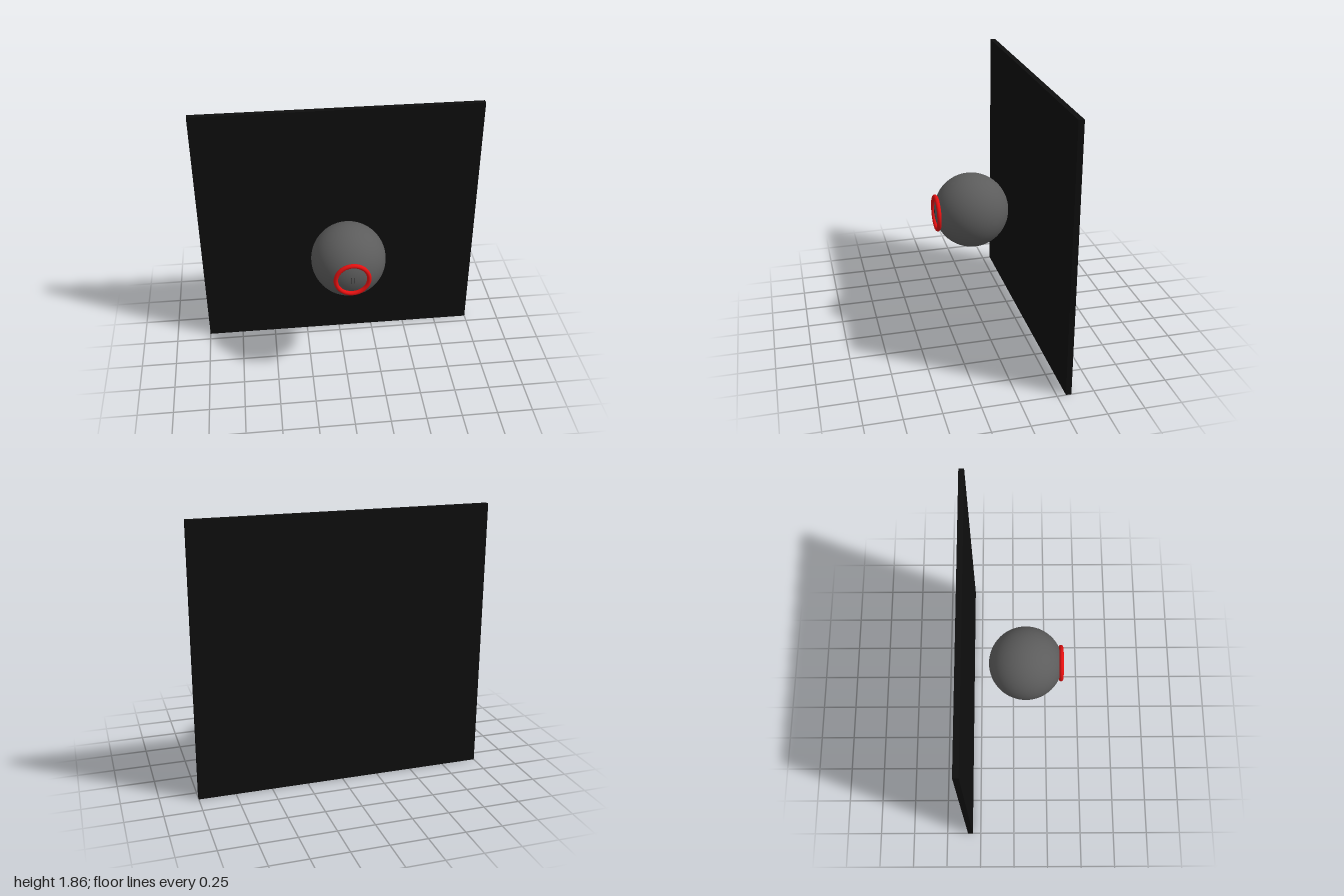
import * as THREE from 'three';

const paint = (name, color) => {
  const m = new THREE.MeshStandardMaterial({ color });
  m.name = name;
  return m;
};

export function createModel() {
  const black = paint('black', 0x0e0e0e);
  const grey = paint('grey', 0x5c5c5c);
  const red = paint('red', 0xe51010);
  const darkGrey = paint('darkGrey', 0x2c2c2c);

  const model = new THREE.Group();
  const add = (name, geometry, material, x, y, z) => {
    const mesh = new THREE.Mesh(geometry, material);
    mesh.name = name;
    mesh.position.set(x, y, z);
    model.add(mesh);
  };

  const cx = 0.025, cy = 0.93, cz = 0.086, radius = 0.256;

  // Flat panel standing behind the ball
  add('backPanel', new THREE.BoxGeometry(2, 1.86, 0.037), black, 0, 0.93, -0.328);

  // Ball floating in front of the panel
  add('ball', new THREE.SphereGeometry(radius, 64, 48), grey, cx, cy, cz);

  // Ring around the front of the ball
  add('frontRing', new THREE.TorusGeometry(0.1125, 0.0148, 20, 64), red, cx, cy, 0.331);

  // Two thin upright slits in the middle of the ring
  for (const side of [-1, 1]) {
    add('slit', new THREE.BoxGeometry(0.005, 0.045, 0.005), darkGrey, cx + side * 0.01, cy, cz + radius - 0.0015);
  }

  return model;
}
